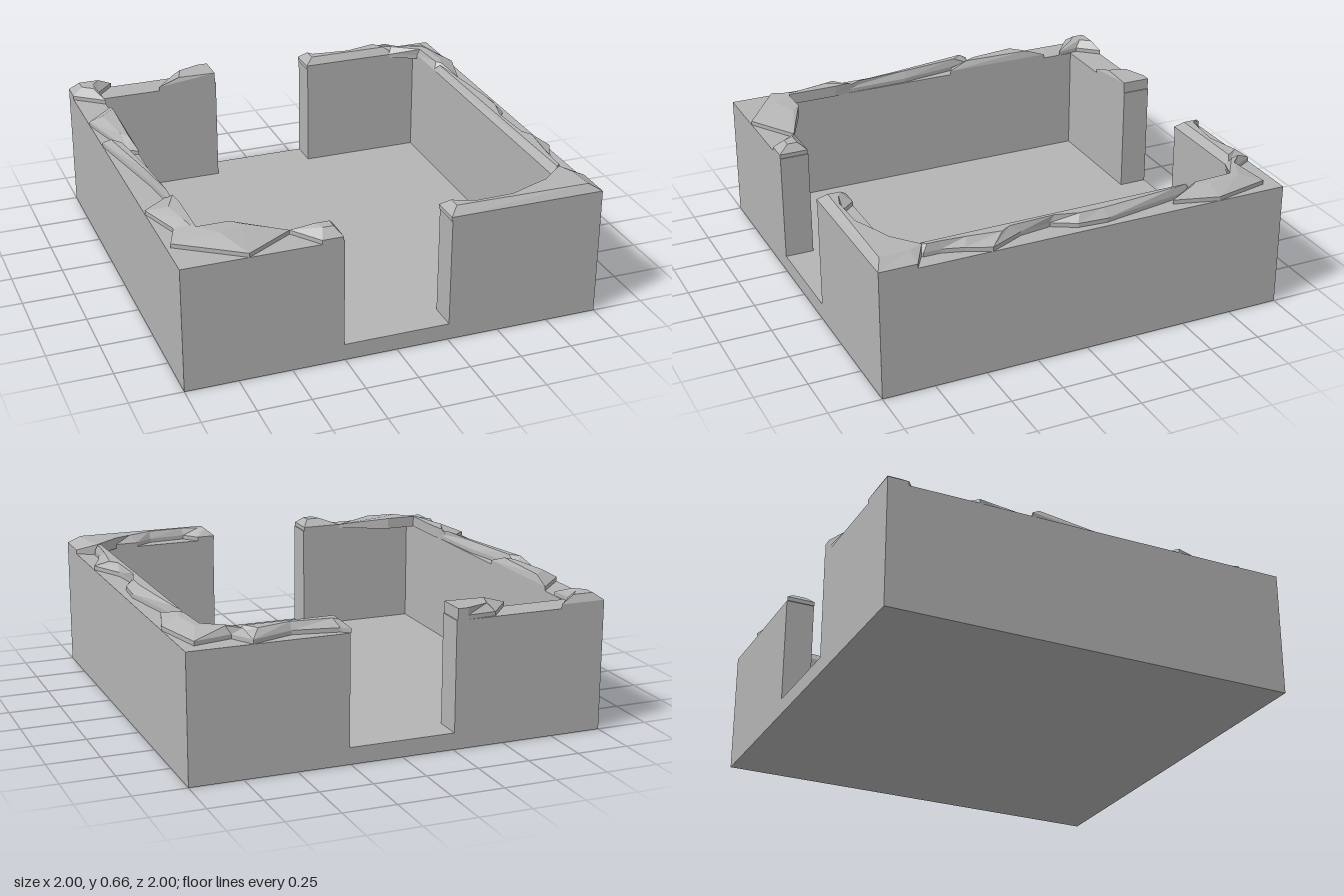
import * as THREE from 'three';

const FLOOR = 0.08, WALL = 0.605, RISER = 0.625, TOP = 0.66;
const INNER = 0.86, DOOR = 0.255;

// Faceted stone chip: rows of [x, z, topX, topZ]; a short riser, then a slope to a flat top.
function chipGeometry(rows) {
  const base = rows.map(r => new THREE.Vector2(r[0], r[1]));
  const pts = THREE.ShapeUtils.isClockWise(base) ? rows : rows.slice().reverse();
  const n = pts.length, pos = [], index = [];
  for (const [x, z] of pts) pos.push(x, WALL, z);
  for (const [x, z] of pts) pos.push(x, RISER, z);
  for (const [x, z, tx = x, tz = z] of pts) pos.push(tx, TOP, tz);
  for (let ring = 0; ring < 2; ring++) {
    for (let i = 0; i < n; i++) {
      const a = ring * n + i, b = ring * n + (i + 1) % n;
      index.push(a, b, b + n, a, b + n, a + n);
    }
  }
  // Caps: the triangulator keeps the winding of the ring it is given
  const cap = (cx, cz) => {
    const ring = pts.map(p => new THREE.Vector2(p[cx] ?? p[cx - 2], p[cz] ?? p[cz - 2]));
    return THREE.ShapeUtils.triangulateShape(ring, []);
  };
  const area = (p, o) => {
    const [a, b, c] = p.map(i => [pos[(i + o) * 3], pos[(i + o) * 3 + 2]]);
    return (b[0] - a[0]) * (c[1] - a[1]) - (b[1] - a[1]) * (c[0] - a[0]);
  };
  const addCap = (tris, offset, up) => {
    for (const t of tris) {
      const [a, b, c] = t.map(i => i + offset);
      if ((area(t, offset) < 0) === up) index.push(a, b, c);
      else index.push(a, c, b);
    }
  };
  addCap(cap(0, 1), 0, false);
  addCap(cap(2, 3), 2 * n, true);
  const g = new THREE.BufferGeometry();
  g.setAttribute('position', new THREE.Float32BufferAttribute(pos, 3));
  g.setIndex(index);
  const flat = g.toNonIndexed();
  flat.computeVertexNormals();
  return flat;
}

export function createModel() {
  const group = new THREE.Group();
  group.name = 'roomTile';
  const stone = new THREE.MeshStandardMaterial({ color: 0xb4b4b4 });
  stone.name = 'grey stone';

  const add = (name, geometry) => {
    const mesh = new THREE.Mesh(geometry, stone);
    mesh.name = name;
    group.add(mesh);
    return mesh;
  };
  const box = (name, x0, x1, y0, y1, z0, z1) =>
    add(name, new THREE.BoxGeometry(x1 - x0, y1 - y0, z1 - z0))
      .position.set((x0 + x1) / 2, (y0 + y1) / 2, (z0 + z1) / 2);

  // Floor slab
  box('floor', -1, 1, 0, FLOOR, -1, 1);

  // Side walls, and end walls split by doorways
  for (const s of [-1, 1]) {
    const side = s > 0 ? 'left' : 'right';
    box(side + 'Wall', Math.min(s, s * INNER), Math.max(s, s * INNER), FLOOR, WALL, -1, 1);
    for (const e of [-1, 1]) {
      box(side + (e > 0 ? 'Front' : 'Back') + 'Wall',
        Math.min(s * DOOR, s * INNER), Math.max(s * DOOR, s * INNER), FLOOR, WALL,
        Math.min(e, e * INNER), Math.max(e, e * INNER));
    }
  }

  // Broken stone along the wall tops
  const chips = {
    rightFrontCornerChip: [
      [-0.85, 0.5], [-0.87, 0.36, -0.86, 0.42], [-1, 0.46, -0.91, 0.53], [-0.93, 0.67, -0.88, 0.67],
      [-0.98, 0.8, -0.87, 0.73], [-0.69, 1, -0.77, 0.84], [-0.46, 0.86, -0.66, 0.79],
      [-0.7, 0.75], [-0.85, 0.75]],
    rightFrontDoorChip: [
      [-0.46, 0.86, -0.36, 0.9], [-0.26, 0.86, -0.29, 0.9], [-0.26, 1, -0.29, 0.95], [-0.36, 1, -0.34, 0.95]],
    rightWallLongChip: [
      [-1, -0.3, -0.97, -0.25], [-0.93, -0.28, -0.93, -0.2], [-0.87, 0.1, -0.89, 0.1],
      [-0.86, 0.5, -0.87, 0.36], [-0.9, 0.2, -0.9, 0.15]],
    rightWallShortChip: [
      [-1, -0.56, -0.94, -0.53], [-0.86, -0.7, -0.87, -0.6], [-0.86, -0.15, -0.88, -0.25], [-0.9, -0.17, -0.91, -0.3]],
    rightBackCornerChip: [
      [-1, -1, -0.95, -0.98], [-0.78, -1, -0.85, -0.98], [-0.87, -0.9, -0.89, -0.93],
      [-0.86, -0.79, -0.9, -0.88], [-1, -0.9, -0.95, -0.92]],
    rightBackDoorChip: [
      [-0.56, -0.86, -0.45, -0.87], [-0.45, -0.99, -0.42, -0.96], [-0.31, -1], [-0.26, -1], [-0.26, -0.86]],
    leftBackChip: [
      [0.25, -1, 0.29, -0.96], [0.29, -0.97, 0.31, -0.93], [0.5, -0.93, 0.5, -0.91], [0.7, -1, 0.66, -0.95],
      [0.75, -0.86, 0.7, -0.89], [0.25, -0.86, 0.29, -0.89]],
    leftBackCornerChip: [
      [0.7, -1, 0.72, -0.93], [0.76, -0.89, 0.78, -0.87], [0.94, -0.93, 0.9, -0.82], [1, -0.66, 0.92, -0.65],
      [0.94, -0.45, 0.9, -0.58], [0.86, -0.57, 0.88, -0.6], [0.86, -0.8, 0.87, -0.79], [0.72, -0.86, 0.74, -0.88]],
    leftWallChip: [
      [0.86, -0.58, 0.88, -0.55], [0.89, -0.55, 0.89, -0.5], [0.97, -0.1, 0.93, -0.1], [0.96, 0.04, 0.93, 0.02],
      [0.9, 0.15, 0.9, 0.13], [0.92, 0.3, 0.91, 0.35], [1, 0.47, 0.94, 0.4], [0.95, 0.58, 0.92, 0.56],
      [0.92, 0.68, 0.91, 0.68], [0.92, 0.76, 0.91, 0.74], [0.86, 0.8, 0.89, 0.76]],
    leftFrontChip: [
      [0.25, 0.86, 0.29, 0.9], [0.34, 0.86, 0.32, 0.92], [0.4, 0.93, 0.4, 0.945], [0.58, 0.92, 0.58, 0.94],
      [0.67, 0.86, 0.7, 0.89], [0.78, 0.86], [0.9, 0.76], [1, 0.82, 0.93, 0.83],
      [1, 1, 0.94, 0.97], [0.25, 1, 0.29, 0.96]],
  };
  for (const [name, rows] of Object.entries(chips)) add(name, chipGeometry(rows));

  return group;
}
